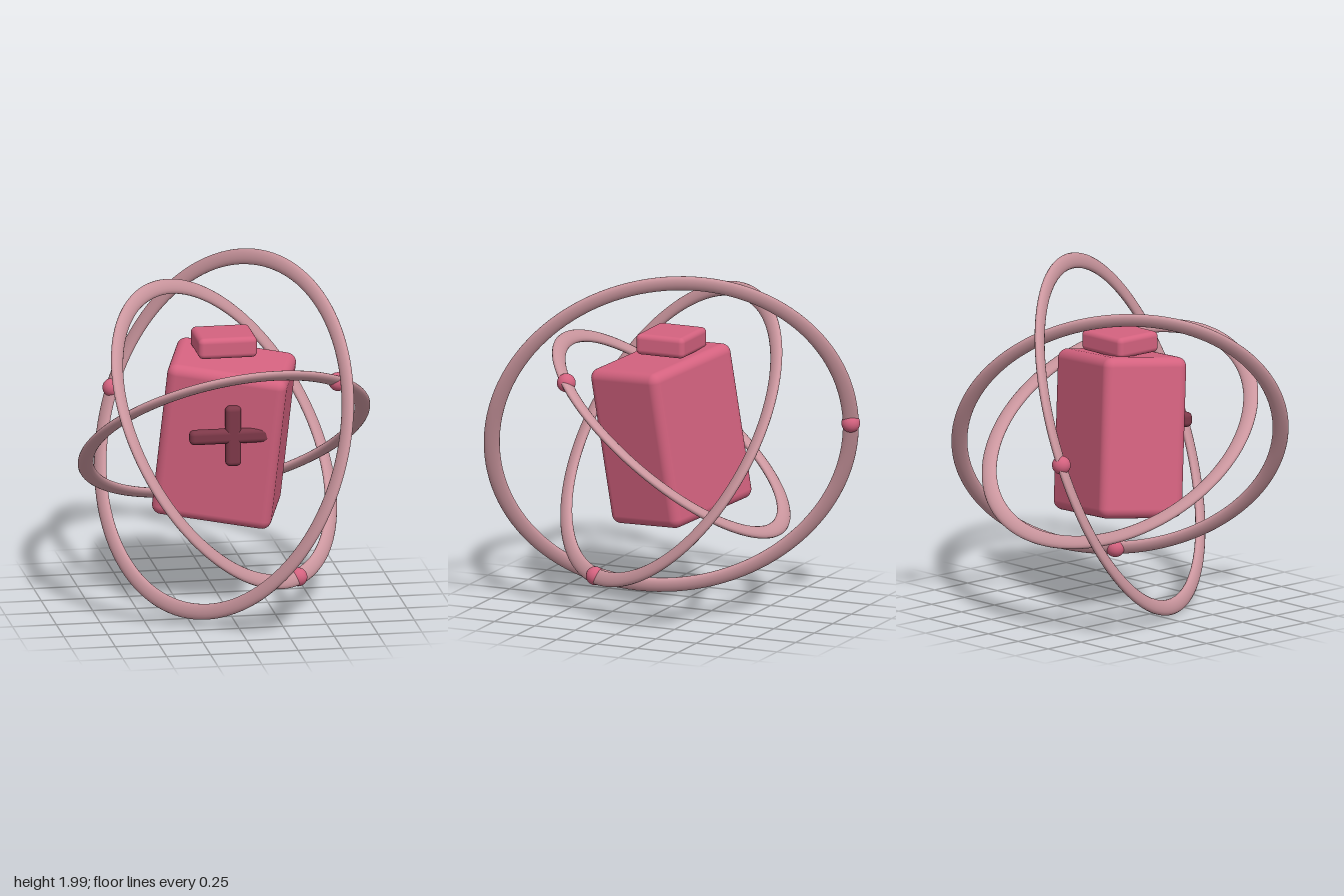
import * as THREE from 'three';
import { RoundedBoxGeometry } from 'three/addons/geometries/RoundedBoxGeometry.js';

const flat = (name, color) => {
  const m = new THREE.MeshStandardMaterial({ color });
  m.name = name;
  return m;
};

export function createModel() {
  const pink = flat('rose pink', 0xd4627f);
  const pale = flat('dusty pink', 0xcc979f);
  const dark = flat('dark maroon', 0x7c3848);

  const model = new THREE.Group();
  model.name = 'orbitingCanister';

  const add = (name, geometry, material, x, y, z) => {
    const mesh = new THREE.Mesh(geometry, material);
    mesh.name = name;
    mesh.position.set(x, y, z);
    model.add(mesh);
    return mesh;
  };
  const box = (w, h, d, r) => new RoundedBoxGeometry(w, h, d, 4, r);

  // Leaning, turned canister body
  const body = add('body', box(0.68, 0.91, 0.515, 0.055), pink, 0, 1.005, 0);
  const up = new THREE.Vector3(0.088, 0.986, 0.12).normalize();
  const front = new THREE.Vector3(0.95, -0.148, 0.28).cross(up).normalize();
  const side = new THREE.Vector3().crossVectors(up, front);
  body.quaternion.setFromRotationMatrix(new THREE.Matrix4().makeBasis(side, up, front));

  // Upright cap and cross emblem
  add('cap', box(0.335, 0.12, 0.3, 0.03), pink, 0, 1.54, 0);
  add('crossUpright', box(0.09, 0.35, 0.065, 0.028), dark, 0, 1.075, 0.302);
  add('crossBar', box(0.5, 0.085, 0.065, 0.028), dark, 0, 1.075, 0.302);

  // Flattened orbit rings, each carrying one bead
  const rings = [
    { name: 'inner', radius: 0.797, normal: [-0.11, 0.78, -0.62], bead: [0.59, 0.39, 0.385] },
    { name: 'middle', radius: 0.905, normal: [0.667, 0.527, 0.527], bead: [0.37, -0.77, 0.3] },
    { name: 'outer', radius: 1.013, normal: [0.818, -0.337, -0.466], bead: [-0.495, 0.05, -0.88] },
  ];
  const zAxis = new THREE.Vector3(0, 0, 1);
  for (const { name, radius, normal, bead } of rings) {
    const geometry = new THREE.TorusGeometry(radius, 0.045, 16, 120).scale(1, 1, 0.5);
    const n = new THREE.Vector3(...normal).normalize();
    add(name + 'Ring', geometry, pale, 0, 1, 0).quaternion.setFromUnitVectors(zAxis, n);
    // Keep the bead centred on its ring
    const p = new THREE.Vector3(...bead).projectOnPlane(n).setLength(radius);
    add(name + 'Bead', new THREE.SphereGeometry(0.053, 24, 16), pink, p.x, p.y + 1, p.z);
  }

  return model;
}
